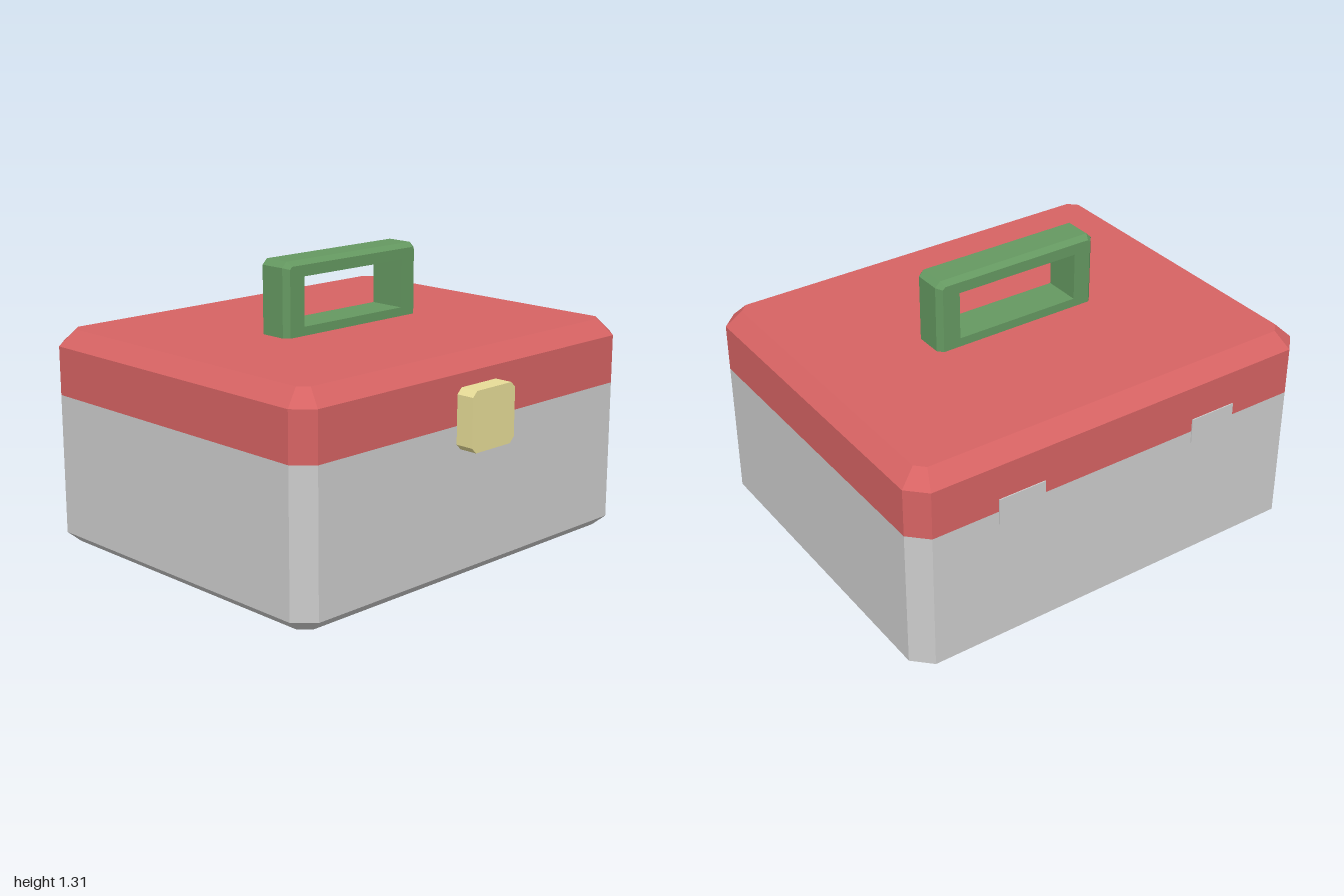
import * as THREE from 'three';
import { mergeGeometries } from 'three/addons/utils/BufferGeometryUtils.js';

const paint = (color) => new THREE.MeshStandardMaterial({ color, flatShading: true });

// Rectangle with cut corners, counter-clockwise, centred on (0, cy).
function outline(w, h, cut, cy = 0) {
  const x = w / 2, y = h / 2;
  return [
    [x, -y + cut], [x, y - cut], [x - cut, y], [-x + cut, y],
    [-x, y - cut], [-x, -y + cut], [-x + cut, -y], [x - cut, -y],
  ].map(([px, py]) => new THREE.Vector2(px, py + cy));
}

// Band of quads joining outlines of equal length along z.
function band(rings, depths, inward = false) {
  const positions = [];
  for (let i = 0; i < rings.length - 1; i++) {
    const n = rings[i].length;
    for (let j = 0; j < n; j++) {
      const k = (j + 1) % n;
      const at = (r, p) => [rings[r][p].x, rings[r][p].y, depths[r]];
      const [a, b, c, d] = [at(i, j), at(i, k), at(i + 1, k), at(i + 1, j)];
      positions.push(...(inward ? [a, c, b, a, d, c] : [a, b, c, a, c, d]).flat());
    }
  }
  const geometry = new THREE.BufferGeometry();
  geometry.setAttribute('position', new THREE.Float32BufferAttribute(positions, 3));
  return geometry;
}

// Flat end face, optionally pierced; back faces are turned to look along -z.
function cap(ring, depth, back, hole) {
  const shape = new THREE.Shape(ring);
  if (hole) shape.holes.push(new THREE.Path(hole));
  const geometry = new THREE.ShapeGeometry(shape).toNonIndexed();
  geometry.deleteAttribute('uv');
  geometry.deleteAttribute('normal');
  if (back) geometry.rotateY(Math.PI);
  return geometry.translate(0, 0, depth);
}

// Chamfered solid along z from rings and depths; caps may be left open at a joint.
function solid(rings, depths, { start = true, end = true, hole } = {}) {
  const last = rings.length - 1;
  const parts = [band(rings, depths)];
  if (start) parts.push(cap(rings[0], depths[0], true, hole));
  if (end) parts.push(cap(rings[last], depths[last], false, hole));
  if (hole) parts.push(band([hole, hole], [depths[0], depths[last]], true));
  const geometry = mergeGeometries(parts);
  geometry.computeVertexNormals();
  return geometry;
}

export function createModel() {
  const group = new THREE.Group();
  const add = (name, geometry, material) => {
    const mesh = new THREE.Mesh(geometry, material);
    mesh.name = name;
    group.add(mesh);
    return mesh;
  };
  const grey = paint(0xcccccc), red = paint(0xd66363);
  const green = paint(0x659961), yellow = paint(0xe7dc97);

  const width = 1.645, length = 2, middle = -0.0425, seam = 0.69;
  const full = outline(width, length, 0.08);

  // Base and lid share the seam outline
  const base = solid([outline(width - 0.11, length - 0.11, 0.05), full, full],
    [0, 0.05, seam], { end: false });
  add('base', base.rotateX(-Math.PI / 2).translate(middle, 0, 0), grey);

  const lid = solid([full, full, outline(width - 0.14, length - 0.14, 0.04)],
    [seam, 0.91, 0.98], { start: false });
  add('lid', lid.rotateX(-Math.PI / 2).translate(middle, 0, 0), red);

  // Carrying handle: chamfered block with a rectangular opening, set into the lid
  const grip = outline(0.81, 0.37, 0.025, 1.125);
  const gripFace = outline(0.765, 0.33, 0.012, 1.125);
  const opening = [[0.3, 1.02], [0.3, 1.24], [-0.3, 1.24], [-0.3, 1.02]]
    .map(([x, y]) => new THREE.Vector2(x, y));
  const handle = solid([gripFace, grip, grip, gripFace],
    [-0.0875, -0.0625, 0.0625, 0.0875], { hole: opening });
  add('handle', handle.rotateY(Math.PI / 2).translate(middle, 0, 0), green);

  // Latch across the seam
  const plate = outline(0.265, 0.265, 0.025, 0.7175);
  add('latch', solid([plate, plate], [0.75, 0.865]).rotateY(Math.PI / 2), yellow);

  // Hinges opposite the latch
  for (const side of [-1, 1]) {
    add(side < 0 ? 'rearHinge' : 'frontHinge', new THREE.BoxGeometry(0.03, 0.12, 0.225), grey)
      .position.set(-0.855, 0.69, side * 0.495);
  }
  return group;
}
